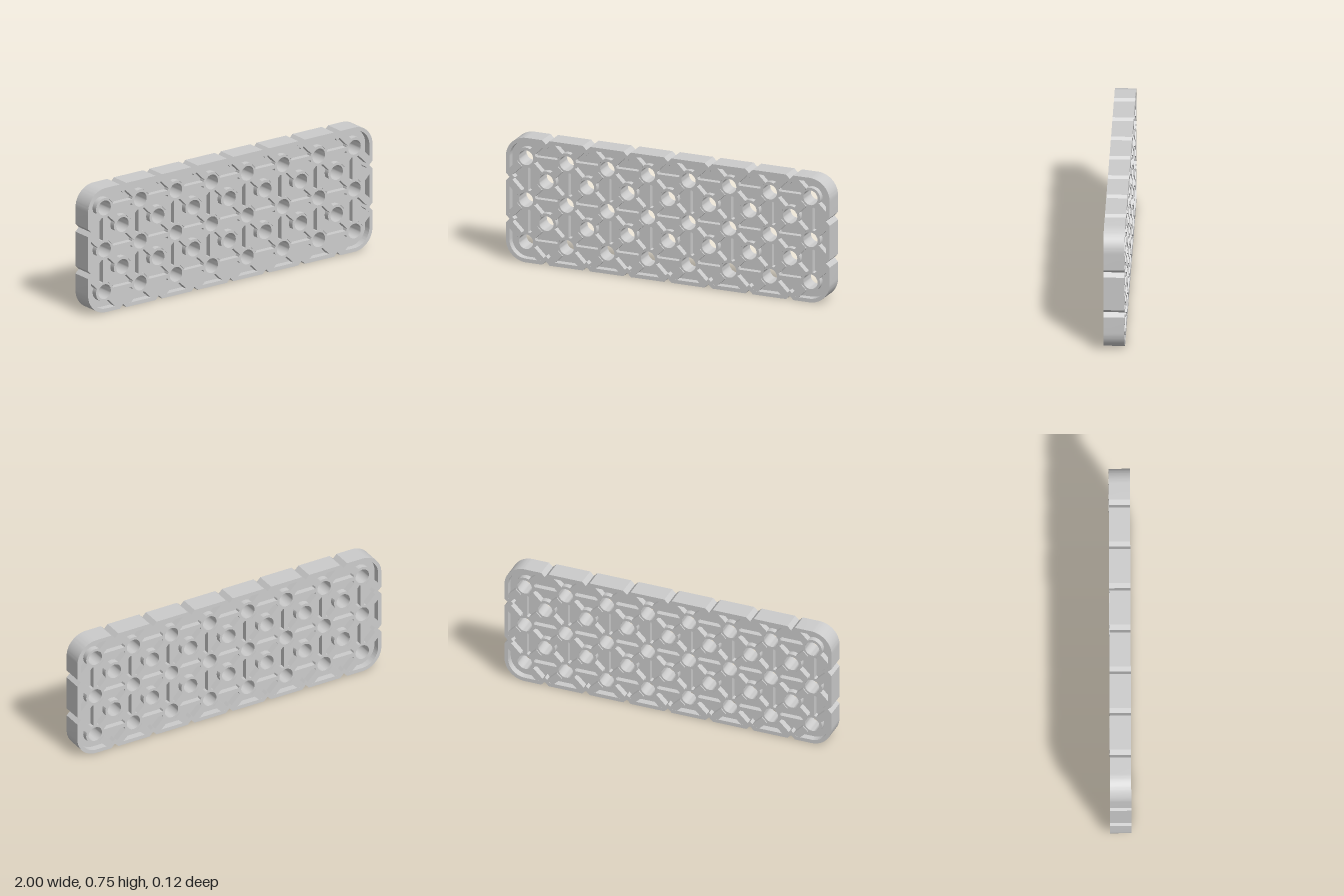
import * as THREE from 'three';
import { toCreasedNormals } from 'three/addons/utils/BufferGeometryUtils.js';

const PITCH = 0.251;          // lattice spacing
const COLS = 8, ROWS = 3;
const HALF_W = 1, HALF_H = 0.3725, HALF_T = 0.06;
const CORNER = 0.125;
const BOSS_R = 0.06, HOLE_R = 0.044;

const material = new THREE.MeshStandardMaterial({ color: 0xcccccc });

// Rounded rectangle with V notches at every lattice line, shrunk by an inset
function outline(inset, Type = THREE.Shape) {
  const w = HALF_W - inset, h = HALF_H - inset, r = CORNER - inset;
  const notch = 0.023 + 0.414 * inset;
  const path = new Type();
  path.moveTo(-w + r, -h);
  // length direction (dx, dy); the inward direction is (-dy, dx)
  const side = (cx, cy, dx, dy, count) => {
    for (let i = 1; i < count; i++) {
      const s = (i - count / 2) * PITCH;
      const x = cx + dx * s, y = cy + dy * s;
      path.lineTo(x - dx * notch, y - dy * notch);
      path.lineTo(x - dy * notch, y + dx * notch);
      path.lineTo(x + dx * notch, y + dy * notch);
    }
  };
  side(0, -h, 1, 0, COLS);
  path.absarc(w - r, -h + r, r, -Math.PI / 2, 0, false);
  side(w, 0, 0, 1, ROWS);
  path.absarc(w - r, h - r, r, 0, Math.PI / 2, false);
  side(0, h, -1, 0, COLS);
  path.absarc(-w + r, h - r, r, Math.PI / 2, Math.PI, false);
  side(-w, 0, 0, -1, ROWS);
  path.absarc(-w + r, -h + r, r, Math.PI, Math.PI * 1.5, false);
  return path;
}

function extrude(shape, halfDepth) {
  const geometry = new THREE.ExtrudeGeometry(shape, {
    depth: halfDepth * 2, bevelEnabled: false, curveSegments: 12,
  });
  geometry.translate(0, 0, -halfDepth);
  return toCreasedNormals(geometry, 0.5);
}

export function createModel() {
  const model = new THREE.Group();
  model.name = 'perforatedPlate';
  const body = new THREE.Group();
  body.name = 'plateBody';
  body.position.y = HALF_H;
  model.add(body);

  const add = (name, geometry) => {
    const mesh = new THREE.Mesh(geometry, material);
    mesh.name = name;
    body.add(mesh);
    return mesh;
  };

  // Hole centres: main grid plus the offset grid in between
  const main = [], offset = [];
  for (let r = 0; r < ROWS; r++)
    for (let c = 0; c < COLS; c++)
      main.push([(c - (COLS - 1) / 2) * PITCH, (r - (ROWS - 1) / 2) * PITCH]);
  for (let r = 1; r < ROWS; r++)
    for (let c = 1; c < COLS; c++)
      offset.push([(c - COLS / 2) * PITCH, (r - ROWS / 2) * PITCH]);

  // Outer rim wall
  const rim = outline(0);
  rim.holes.push(outline(0.022, THREE.Path));
  add('rim', extrude(rim, HALF_T));

  // Thin middle web pierced by the holes
  const web = outline(0.01);
  for (const [x, y] of [...main, ...offset])
    web.holes.push(new THREE.Path().absarc(x, y, 0.052, 0, Math.PI * 2, true));
  add('web', extrude(web, 0.02));

  // Round bosses lining the holes
  const b = 0.053;
  const ring = [[HOLE_R, -b], [BOSS_R, -b], [BOSS_R, b], [HOLE_R, b], [HOLE_R, -b]]
    .map(([x, y]) => new THREE.Vector2(x, y));
  const bossGeometry = toCreasedNormals(
    new THREE.LatheGeometry(ring, 32).rotateX(Math.PI / 2), 0.6);
  for (const [x, y] of [...main, ...offset])
    add('holeBoss', bossGeometry).position.set(x, y, 0);

  // Straight bar between two points, trimmed at both ends
  const rib = (name, x0, y0, x1, y1, trim0, trim1, width, halfDepth) => {
    const length = Math.hypot(x1 - x0, y1 - y0);
    const mid = (trim0 + length - trim1) / 2 / length;
    const bar = add(name, new THREE.BoxGeometry(length - trim0 - trim1, width, halfDepth * 2));
    bar.position.set(x0 + (x1 - x0) * mid, y0 + (y1 - y0) * mid, 0);
    bar.rotation.z = Math.atan2(y1 - y0, x1 - x0);
  };

  const maxX = COLS / 2 * PITCH, maxY = ROWS / 2 * PITCH;
  for (const [x, y] of main) {
    // Narrow ribs to the next main hole
    if (x + PITCH < maxX)
      rib('horizontalRib', x, y, x + PITCH, y, 0.056, 0.056, 0.025, b);
    if (y + PITCH < maxY)
      rib('verticalRib', x, y, x, y + PITCH, 0.056, 0.056, 0.025, b);
    // Diagonal ribs to the offset holes or the edge notches
    for (const sx of [-1, 1]) for (const sy of [-1, 1]) {
      const tx = x + sx * PITCH / 2, ty = y + sy * PITCH / 2;
      const onX = Math.abs(tx) > maxX - 0.01, onY = Math.abs(ty) > maxY - 0.01;
      if (onX && onY) continue;
      rib('diagonalRib', x, y, tx, ty, 0.054, onX || onY ? 0.03 : 0.054, 0.042, HALF_T - 0.0005);
    }
  }
  return model;
}
